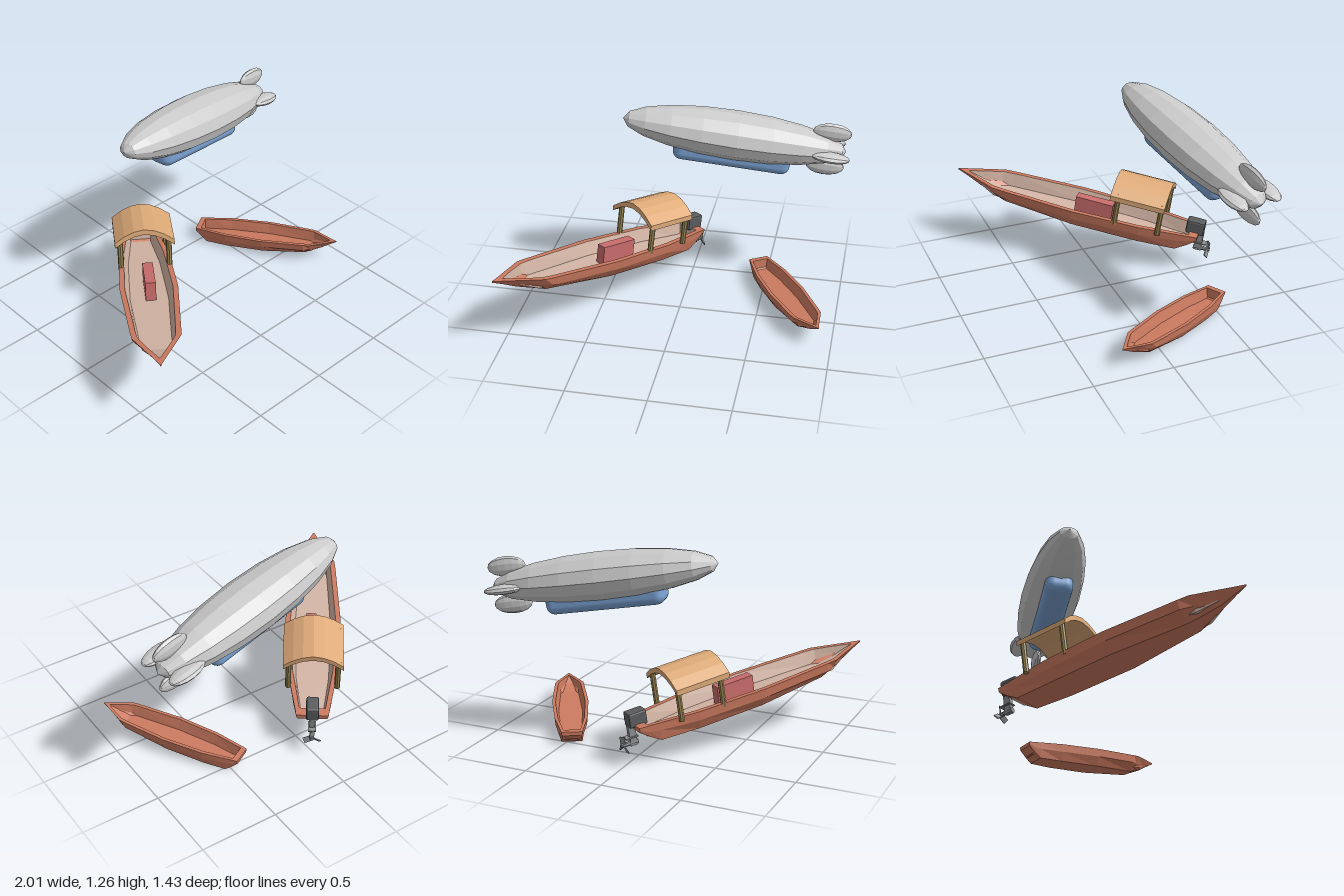
import * as THREE from 'three';
import { RoundedBoxGeometry } from 'three/addons/geometries/RoundedBoxGeometry.js';

const paint = (color, flatShading = true) =>
  new THREE.MeshStandardMaterial({ color, flatShading, side: THREE.DoubleSide });
const GREY = paint(0xcccccc);
const RUST = paint(0xcc7a60);
const BEIGE = paint(0xd2b4a4);
const ROOF = paint(0xdeaa78);
const BAMBOO = paint(0x9c8752);
const PINK = paint(0xc96c6c);
const DARK = paint(0x5a5c5e);
const METAL = paint(0x8c8e90);
const BLUE = paint(0x7ba3d4, false);

function add(parent, name, geometry, material, x = 0, y = 0, z = 0) {
  const mesh = new THREE.Mesh(geometry, material);
  mesh.name = name;
  mesh.position.set(x, y, z);
  parent.add(mesh);
  return mesh;
}

// Group whose +z points forward, turned by yaw and lifted by pitch
function heading(name, position, yaw, pitch) {
  const group = new THREE.Group();
  group.name = name;
  group.position.set(...position);
  group.rotation.set(-pitch, yaw, 0, 'YXZ');
  return group;
}

// Skin stretched over rows of points
function loft(rows) {
  const n = rows[0].length;
  const index = [];
  for (let i = 0; i < rows.length - 1; i++) {
    for (let j = 0; j < n - 1; j++) {
      const a = i * n + j, d = a + n;
      index.push(a, a + 1, d + 1, a, d + 1, d);
    }
  }
  const geometry = new THREE.BufferGeometry();
  geometry.setAttribute('position', new THREE.Float32BufferAttribute(rows.flat(2), 3));
  geometry.setIndex(index);
  const flat = geometry.toNonIndexed();
  flat.computeVertexNormals();
  return flat;
}

// Hull stations from bow: distance, gunwale, inner edge, chine, bottom half-widths, chine y, bottom y
const STATIONS = [
  [0, 0.003, 0, 0.002, 0.001, -0.005, -0.008],
  [0.07, 0.035, 0, 0.016, 0.008, -0.025, -0.032],
  [0.17, 0.085, 0.052, 0.042, 0.02, -0.045, -0.07],
  [0.29, 0.143, 0.108, 0.105, 0.045, -0.055, -0.1],
  [0.36, 0.15, 0.117, 0.138, 0.065, -0.058, -0.117],
  [0.85, 0.18, 0.148, 0.17, 0.12, -0.06, -0.127],
  [1.3, 0.16, 0.128, 0.152, 0.115, -0.06, -0.127],
  [1.55, 0.12, 0.09, 0.116, 0.1, -0.05, -0.12],
  [1.62, 0.108, 0.08, 0.105, 0.095, -0.04, -0.075],
  [1.62, 0.108, 0, 0.105, 0.095, -0.04, -0.075],
  [1.68, 0.1, 0, 0.097, 0.09, -0.02, -0.03],
  [1.68, 0.1, 0, 0.097, 0.09, 0, 0],
];

function addHull(boat, insideMaterial) {
  const shell = STATIONS.map(([s, top, inner, mid, bot, midY, botY]) => {
    const half = [[inner, 0], [top, 0], [mid, midY], [bot, botY]];
    return [
      ...half.map(([x, y]) => [x, y, -s]),
      ...half.reverse().map(([x, y]) => [-x, y, -s]),
    ];
  });
  add(boat, 'hull', loft(shell), RUST);
  // Floor and inner walls, closed by an upright wall at the stern
  const inside = STATIONS.slice(1, 9).map(([s, , w], i) => {
    const y = [0, -0.05][i] ?? -0.085;
    return [[-w, 0, -s], [-w * 0.8, y, -s], [w * 0.8, y, -s], [w, 0, -s]];
  });
  inside.push(inside.at(-1).map(([x, , z]) => [x, 0, z]));
  add(boat, 'hullInside', loft(inside), insideMaterial);
}

function addCanopy(boat) {
  // Arched roof
  const arch = [[0.187, 0.192], [0.125, 0.236], [0.065, 0.264], [0, 0.276]];
  const outer = [...arch, ...arch.slice(0, 3).reverse().map(([x, y]) => [-x, y])];
  const under = outer.map(([x, y]) => [x, y - 0.034]).reverse();
  const shape = new THREE.Shape([...outer, ...under].map(([x, y]) => new THREE.Vector2(x, y)));
  const roof = new THREE.ExtrudeGeometry(shape, { depth: 0.362, bevelEnabled: false });
  add(boat, 'canopyRoof', roof, ROOF, 0, 0, -1.449);
  // Posts
  for (const x of [-0.153, 0.153]) {
    for (const z of [-1.135, -1.425]) {
      add(boat, 'canopyPost', new THREE.CylinderGeometry(0.018, 0.018, 0.225, 8), BAMBOO, x, 0.0925, z);
    }
  }
}

function addMotor(boat) {
  const motor = new THREE.Group();
  motor.name = 'outboardMotor';
  boat.add(motor);
  add(motor, 'motorCowl', new RoundedBoxGeometry(0.078, 0.095, 0.12, 1, 0.012), DARK, 0, 0.03, -1.65);
  add(motor, 'motorLeg', new THREE.BoxGeometry(0.03, 0.13, 0.045), METAL, 0, -0.07, -1.69);
  add(motor, 'cavitationPlate', new THREE.BoxGeometry(0.05, 0.008, 0.08), METAL, 0, -0.08, -1.7);
  const hub = add(motor, 'propellerHub', new THREE.CylinderGeometry(0.018, 0.012, 0.11, 8), METAL, 0, -0.12, -1.715);
  hub.rotation.x = Math.PI / 2;
  // Propeller blades
  for (let i = 0; i < 3; i++) {
    const spoke = new THREE.Group();
    spoke.position.set(0, -0.12, -1.755);
    spoke.rotation.z = i * Math.PI * 2 / 3;
    motor.add(spoke);
    const blade = add(spoke, 'propellerBlade', new THREE.BoxGeometry(0.034, 0.045, 0.007), METAL, 0, 0.034, 0);
    blade.rotation.y = 0.6;
  }
}

function createAirship() {
  const ship = heading('airship', [0.28, 1.085, -0.405], -1.39, 0.164);
  const ellipsoid = (w, h, x, y, z) =>
    new THREE.SphereGeometry(1, w, h).rotateX(Math.PI / 2).scale(x, y, z);
  add(ship, 'envelope', ellipsoid(12, 10, 0.192, 0.148, 0.715), GREY);
  add(ship, 'gondola', new RoundedBoxGeometry(0.18, 0.14, 0.75, 3, 0.055), BLUE, 0, -0.132, 0);
  // Four tail fins in a cross
  for (let i = 0; i < 4; i++) {
    const angle = i * Math.PI / 2;
    const fin = add(ship, 'tailFin', ellipsoid(10, 8, 0.063, 0.03, 0.125), GREY,
      Math.cos(angle) * 0.117, Math.sin(angle) * 0.117, -0.6);
    fin.rotation.z = angle;
  }
  return ship;
}

export function createModel() {
  const model = new THREE.Group();
  model.name = 'boatsAndAirship';

  const longBoat = heading('longBoat', [-1, 0.53, 0.7], -0.631, 0.155);
  addHull(longBoat, BEIGE);
  addCanopy(longBoat);
  addMotor(longBoat);
  add(longBoat, 'cargoBox', new THREE.BoxGeometry(0.065, 0.125, 0.255), PINK, 0.01, -0.023, -0.965);

  const rowBoat = heading('rowBoat', [0.92, 0.165, 0.29], 0.524, 0.057);
  rowBoat.scale.set(0.65, 0.82, 0.578);
  addHull(rowBoat, RUST);

  model.add(longBoat, rowBoat, createAirship());
  return model;
}
